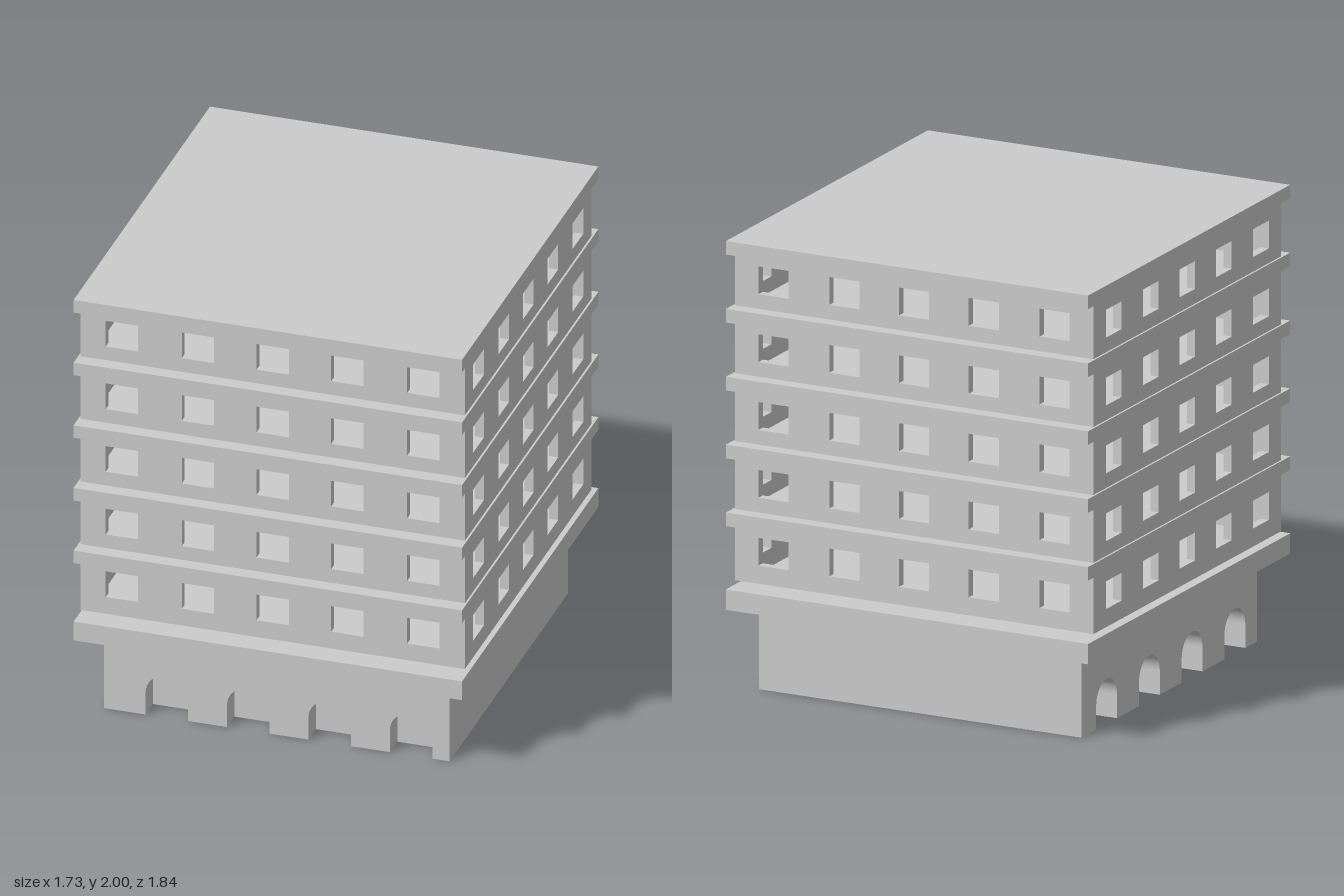
import * as THREE from 'three';

const material = new THREE.MeshStandardMaterial({ color: 0xcccccc });

function addMesh(parent, name, geometry, x = 0, y = 0, z = 0, turn = 0) {
  const mesh = new THREE.Mesh(geometry, material);
  mesh.name = name;
  mesh.position.set(x, y, z);
  mesh.rotation.y = turn;
  parent.add(mesh);
  return mesh;
}

// Box given by its lower and upper limits
function addBlock(parent, name, x0, x1, y0, y1, z0, z1) {
  const geometry = new THREE.BoxGeometry(x1 - x0, y1 - y0, z1 - z0);
  return addMesh(parent, name, geometry, (x0 + x1) / 2, (y0 + y1) / 2, (z0 + z1) / 2);
}

const extrude = (shape, depth) =>
  new THREE.ExtrudeGeometry(shape, { depth, bevelEnabled: false, curveSegments: 16 });

// Wall with a row of rectangular window openings
function windowWall(halfWidth, height, thickness) {
  const rect = (target, x0, x1, y0, y1) =>
    target.moveTo(x0, y0).lineTo(x1, y0).lineTo(x1, y1).lineTo(x0, y1).closePath();
  const shape = rect(new THREE.Shape(), -halfWidth, halfWidth, 0, height);
  const sill = height - 0.175, head = height - 0.052;
  for (const c of [-0.672, -0.333, 0, 0.333, 0.672]) {
    shape.holes.push(rect(new THREE.Path(), c - 0.072, c + 0.072, sill, head));
  }
  return extrude(shape, thickness);
}

// Panel with round-headed recesses that are open at the ground
function archPanel(x0, x1, height, centres, depth) {
  const r = 0.095, spring = 0.105;
  const shape = new THREE.Shape();
  shape.moveTo(x0, 0);
  for (const c of centres) {
    shape.lineTo(c - r, 0);
    shape.lineTo(c - r, spring);
    shape.absarc(c, spring, r, Math.PI, 0, true);
    shape.lineTo(c + r, 0);
  }
  shape.lineTo(x1, 0);
  shape.lineTo(x1, height);
  shape.lineTo(x0, height);
  shape.closePath();
  return extrude(shape, depth);
}

export function createModel() {
  const building = new THREE.Group();
  building.name = 'building';

  // Ground floor: solid core with arcades on the front and the right-hand side
  const bx = 0.77, bz = 0.8, baseTop = 0.37, recess = 0.1;
  const base = new THREE.Group();
  base.name = 'groundFloor';
  building.add(base);
  addBlock(base, 'baseCore', -bx + recess, bx, 0, baseTop, -bz, bz - recess);
  const frontArches = [0, 1, 2, 3].map((i) => -0.49 + i * 0.363);
  addMesh(base, 'frontArcade', archPanel(-bx, bx, baseTop, frontArches, recess), 0, 0, bz - recess);
  const sideArches = [0, 1, 2, 3].map((i) => -0.57 + i * 0.39);
  addMesh(base, 'sideArcade', archPanel(-bz, bz - recess, baseTop, sideArches, recess),
    -bx + recess, 0, 0, -Math.PI / 2);

  // Slab over the ground floor
  const sx = 0.866, sz = 0.922;
  addBlock(building, 'baseSlab', -sx, sx, baseTop, 0.46, -sz, sz);

  // Five hollow storeys, each closed by an overhanging slab
  const half = 0.857, t = 0.04;
  for (let i = 0; i < 5; i++) {
    const top = 0.74 + i * 0.3;
    const bottom = i === 0 ? 0.485 : top - 0.24;
    const storey = new THREE.Group();
    storey.name = `storey${i + 1}`;
    building.add(storey);
    const longWall = windowWall(half, top - bottom, t);
    const innerWall = windowWall(half - t, top - bottom, t);
    addMesh(storey, 'frontWall', longWall, 0, bottom, half - t);
    addMesh(storey, 'backWall', longWall, 0, bottom, -half + t, Math.PI);
    addMesh(storey, 'leftWall', innerWall, half - t, bottom, 0, Math.PI / 2);
    addMesh(storey, 'rightWall', innerWall, -half + t, bottom, 0, -Math.PI / 2);
    addBlock(storey, i === 4 ? 'roofSlab' : 'floorSlab', -sx, sx, top, top + 0.06, -sz, sz);
  }
  return building;
}
